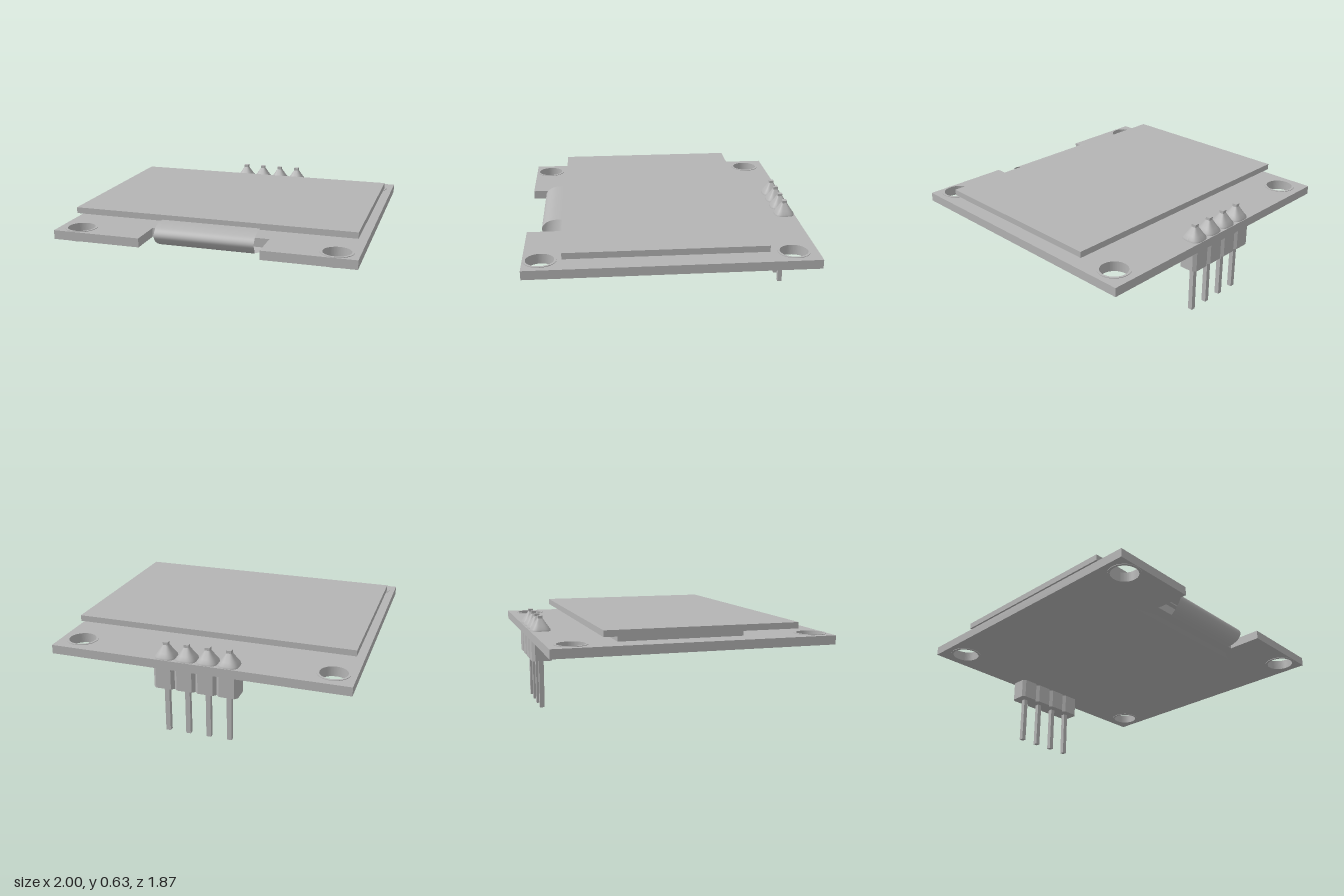
import * as THREE from 'three';

const grey = new THREE.MeshStandardMaterial({ color: 0xb4b4b4, side: THREE.DoubleSide });
grey.name = 'light grey';

// Adds a named mesh to a parent
function add(parent, name, geometry, x = 0, y = 0, z = 0) {
  const mesh = new THREE.Mesh(geometry, grey);
  mesh.name = name;
  mesh.position.set(x, y, z);
  parent.add(mesh);
  return mesh;
}

// Box given by its limits
function slab(parent, name, [x0, x1], [y0, y1], [z0, z1]) {
  return add(parent, name, new THREE.BoxGeometry(x1 - x0, y1 - y0, z1 - z0),
    (x0 + x1) / 2, (y0 + y1) / 2, (z0 + z1) / 2);
}

// Shape drawn on the ground plane (shape y = -z) and raised upwards
function raise(shape, depth) {
  return new THREE.ExtrudeGeometry(shape, { depth, bevelEnabled: false, curveSegments: 32 }).rotateX(-Math.PI / 2);
}

function polygon(points) {
  return new THREE.Shape(points.map(([x, y]) => new THREE.Vector2(x, y)));
}

function circle(Type, x, y, r) {
  const c = new Type();
  c.absarc(x, y, r, 0, Math.PI * 2, false);
  return c;
}

// Surface through a list of equally long rows of points
function skin(rows) {
  const n = rows[0].length, index = [];
  for (let i = 0; i < rows.length - 1; i++) {
    for (let j = 0; j < n - 1; j++) {
      const a = i * n + j, b = a + n;
      index.push(a, b, a + 1, b, b + 1, a + 1);
    }
  }
  const geometry = new THREE.BufferGeometry();
  geometry.setAttribute('position', new THREE.Float32BufferAttribute(rows.flat(2), 3));
  geometry.setIndex(index);
  geometry.computeVertexNormals();
  return geometry;
}

// Rounded-square cone that narrows towards the pin
function solderGeometry() {
  const profile = [[0.068, 0, 3.2], [0.066, 0.012, 3.2], [0.05, 0.034, 3.2], [0.032, 0.06, 4], [0.017, 0.083, 6]];
  const rows = profile.map(([r, y, power]) => {
    const row = [];
    for (let i = 0; i <= 32; i++) {
      const a = -i / 32 * Math.PI * 2, c = Math.cos(a), s = Math.sin(a);
      const k = r / Math.pow(Math.abs(c) ** power + Math.abs(s) ** power, 1 / power);
      row.push([c * k, y, s * k]);
    }
    return row;
  });
  return skin(rows);
}

// Flexible sheet; each station holds half width, height and depth
function cableGeometry() {
  const stations = [
    [0.335, 0.587, 0.64], [0.335, 0.588, 0.72], [0.335, 0.58, 0.775], [0.335, 0.555, 0.817],
    [0.335, 0.52, 0.834], [0.335, 0.483, 0.815], [0.325, 0.452, 0.775], [0.315, 0.434, 0.72],
    [0.37, 0.439, 0.67], [0.5, 0.458, 0.6], [0.61, 0.468, 0.54], [0.62, 0.469, 0.49],
  ].map((p) => new THREE.Vector3(...p));
  const curve = new THREE.CatmullRomCurve3(stations);
  const rows = curve.getPoints(66).map((p) =>
    [-1, -0.5, 0, 0.5, 1].map((t) => [t * p.x, p.y, p.z]));
  return skin(rows);
}

export function createModel() {
  const model = new THREE.Group();
  model.name = 'displayModule';

  // Circuit board with front notch and four mounting holes
  const outline = polygon([[-1, 0.935], [-1, -0.93], [-0.4, -0.93], [-0.4, -0.7],
    [0.4, -0.7], [0.4, -0.93], [1, -0.93], [1, 0.935]]);
  const holes = [[-0.855, 0.78], [0.855, 0.78], [-0.855, -0.82], [0.855, -0.82]];
  holes.forEach(([x, y]) => outline.holes.push(circle(THREE.Path, x, y, 0.095)));
  add(model, 'circuitBoard', raise(outline, 0.06), 0, 0.47, 0);

  // Plated rings lining the holes
  holes.forEach(([x, y]) => {
    const ring = circle(THREE.Shape, 0, 0, 0.106);
    ring.holes.push(circle(THREE.Path, 0, 0, 0.09));
    add(model, 'holeRing', raise(ring, 0.067), x, 0.4665, -y);
  });

  // Display glass on its spacer
  slab(model, 'displaySpacer', [-0.84, 0.84], [0.53, 0.58], [-0.487, 0.35]);
  slab(model, 'displayGlass', [-0.96, 0.96], [0.58, 0.621], [-0.603, 0.68]);

  // Ribbon folded through the notch and under the board
  add(model, 'ribbonCable', cableGeometry());

  // Pin header: chamfered block, square pin and solder for each contact
  const pitch = 0.1415, w = pitch / 2, d = 0.068, cx = 0.02, cz = 0.02;
  const block = raise(polygon([[-w + cx, -d], [w - cx, -d], [w, -d + cz], [w, d - cz],
    [w - cx, d], [-w + cx, d], [-w, d - cz], [-w, -d + cz]]), 0.14);
  const solder = solderGeometry();
  for (let i = 0; i < 4; i++) {
    const contact = new THREE.Group();
    contact.name = 'headerContact';
    contact.position.set((i - 1.5) * pitch, 0, -0.863);
    add(contact, 'headerBlock', block, 0, 0.33, 0);
    slab(contact, 'pin', [-0.016, 0.016], [0, 0.631], [-0.016, 0.016]);
    add(contact, 'solderCone', solder, 0, 0.53, 0);
    model.add(contact);
  }
  return model;
}
